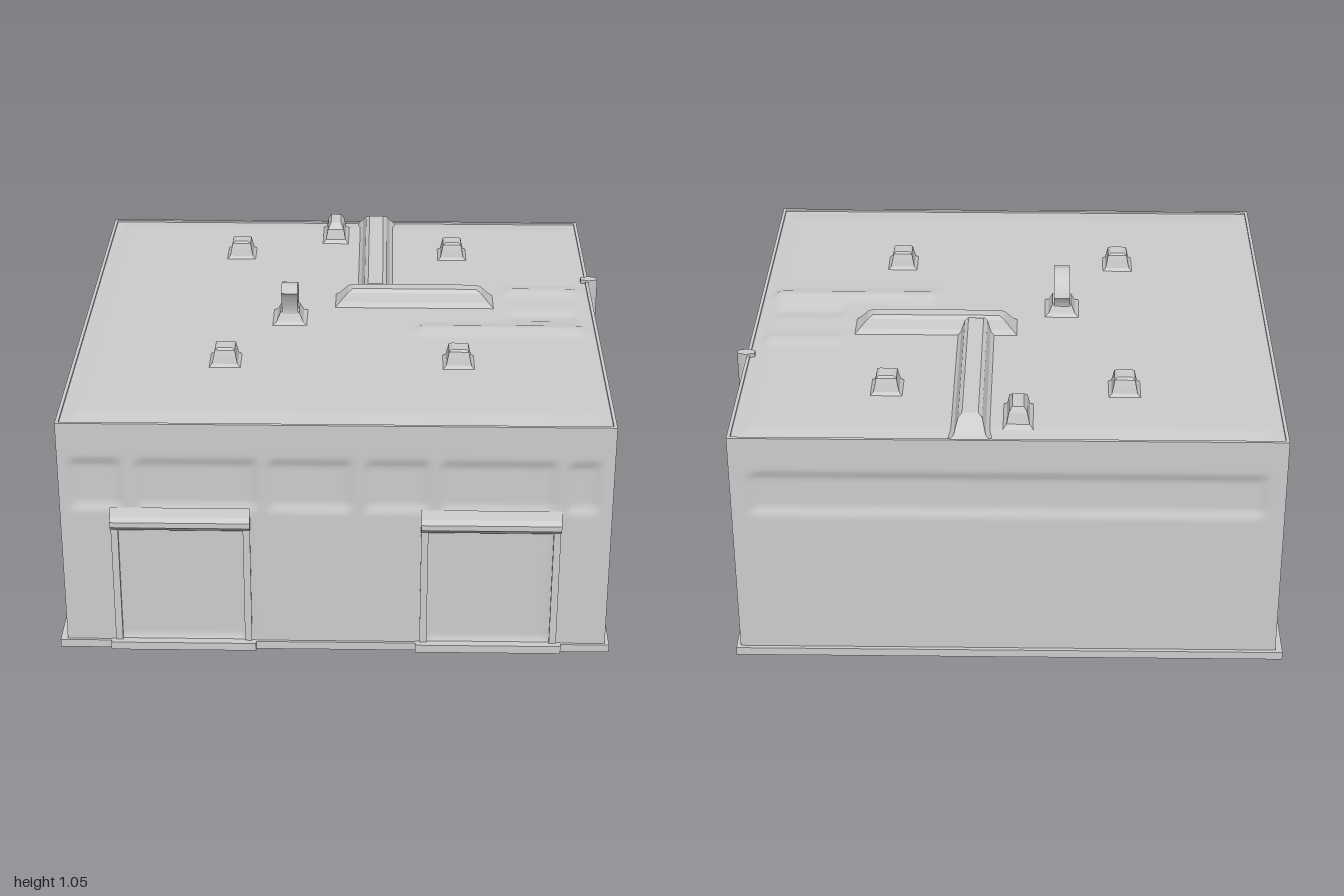
import * as THREE from 'three';

const material = new THREE.MeshStandardMaterial({ color: 0xcccccc });
const X0 = -0.975, X1 = 0.955, Z0 = -0.955, Z1 = 0.94, TOP = 0.89;
const W = X1 - X0, D = Z1 - Z0, CX = (X0 + X1) / 2, CZ = (Z0 + Z1) / 2;

function add(parent, name, geometry, x = 0, y = 0, z = 0) {
  const mesh = new THREE.Mesh(geometry, material);
  mesh.name = name;
  mesh.position.set(x, y, z);
  parent.add(mesh);
  return mesh;
}

// Soft-edged rectangle: 1 inside, fading to 0 across the border
function softRect(u, v, [u0, u1, v0, v1], soft = 0.02) {
  const s = (t, a, b) => THREE.MathUtils.smoothstep(t, a - soft, a + soft) *
    (1 - THREE.MathUtils.smoothstep(t, b - soft, b + soft));
  return s(u, u0, u1) * s(v, v0, v1);
}

// Panel spanning u0..u1, v0..v1, pushed in or out by reliefs [u0, u1, v0, v1, depth]
function reliefPanel(u0, u1, v0, v1, reliefs) {
  const g = new THREE.PlaneGeometry(u1 - u0, v1 - v0, 110, 60);
  g.translate((u0 + u1) / 2, (v0 + v1) / 2, 0);
  const p = g.attributes.position;
  for (let i = 0; i < p.count; i++) {
    const u = p.getX(i), v = p.getY(i);
    const edge = Math.min(u - u0, u1 - u, v - v0, v1 - v);
    let h = 0;
    for (const r of reliefs) h += r[4] * softRect(u, v, r);
    p.setZ(i, h * THREE.MathUtils.smoothstep(edge, 0, 0.025));
  }
  g.computeVertexNormals();
  return g;
}

// Tapered block: rectangular rings [halfX, halfZ, y, offsetX, offsetZ], flat shaded, capped on top
function rings(list) {
  const pos = [], quad = (a, b, c, d) => pos.push(...a, ...b, ...c, ...a, ...c, ...d);
  const loops = list.map(([hx, hz, y, ox = 0, oz = 0]) =>
    [[-1, 1], [1, 1], [1, -1], [-1, -1]].map(([sx, sz]) => [ox + sx * hx, y, oz + sz * hz]));
  for (let k = 0; k < loops.length - 1; k++)
    for (let i = 0; i < 4; i++) {
      const j = (i + 1) % 4;
      quad(loops[k][i], loops[k][j], loops[k + 1][j], loops[k + 1][i]);
    }
  quad(...loops[loops.length - 1]);
  const g = new THREE.BufferGeometry();
  g.setAttribute('position', new THREE.Float32BufferAttribute(pos, 3));
  g.computeVertexNormals();
  return g;
}

export function createModel() {
  const model = new THREE.Group();
  model.name = 'building';

  // Base slab
  add(model, 'baseSlab', new THREE.BoxGeometry(1.97, 0.03, 1.92), -0.015, 0.015, -0.01);

  // Walls with shallow window bands and door bays
  const band = (a, b) => [a, b, 0.57, 0.75, -0.012];
  add(model, 'frontWall', reliefPanel(X0, X1, 0.02, TOP, [
    band(-0.93, -0.76), band(-0.7, -0.29), band(-0.24, 0.04), band(0.1, 0.31), band(0.36, 0.75), band(0.8, 0.9),
    [-0.78, -0.32, 0.0, 0.5, -0.012], [0.31, 0.75, 0.0, 0.5, -0.012],
  ]), 0, 0, Z1);
  add(model, 'leftWall', reliefPanel(-Z1, -Z0, 0.02, TOP, [
    band(-0.86, -0.37), band(-0.24, 0.26), band(0.4, 0.87),
  ]), X1, 0, 0).rotation.y = Math.PI / 2;
  add(model, 'backWall', reliefPanel(-X1, -X0, 0.02, TOP, [
    [-0.88, 0.9, 0.6, 0.75, -0.012],
  ]), 0, 0, Z0).rotation.y = Math.PI;
  add(model, 'rightWall', reliefPanel(Z0, Z1, 0.02, TOP, [
    band(-0.87, -0.4), band(-0.3, -0.1), band(0.0, 0.2), band(0.3, 0.86),
  ]), X0, 0, 0).rotation.y = -Math.PI / 2;

  // Roof with slightly raised ridges (v runs towards the back)
  add(model, 'roof', reliefPanel(X0, X1, -Z1, -Z0, [
    [-0.92, 0.9, -0.88, 0.9, 0.008],
    [0.28, 0.9, -0.17, -0.11, 0.012], [0.63, 0.9, 0.2, 0.25, 0.01], [0.63, 0.88, -0.03, 0.01, -0.012],
  ]), 0, TOP, 0).rotation.x = -Math.PI / 2;

  // Thin parapet lip around the roof
  for (const s of [-1, 1]) {
    add(model, 'parapetLip', new THREE.BoxGeometry(W, 0.014, 0.012), CX, TOP, CZ + s * (D / 2 - 0.006));
    add(model, 'parapetLip', new THREE.BoxGeometry(0.012, 0.014, D), CX + s * (W / 2 - 0.006), TOP, CZ);
  }

  // Door canopies, sills and jambs
  for (const x of [-0.555, 0.535]) {
    const bay = new THREE.Group();
    bay.name = 'doorBay';
    bay.position.set(x, 0, Z1);
    model.add(bay);
    const profile = new THREE.Shape([[0, 0.57], [0.014, 0.54], [0.03, 0.525], [0.03, 0.505], [0, 0.48]]
      .map(([a, b]) => new THREE.Vector2(a, b)));
    const canopy = new THREE.ExtrudeGeometry(profile, { depth: 0.49, bevelEnabled: false });
    canopy.translate(0, 0, -0.245).rotateY(-Math.PI / 2);
    add(bay, 'canopy', canopy);
    add(bay, 'sill', new THREE.BoxGeometry(0.52, 0.03, 0.03), 0, 0.017, 0.012);
    for (const s of [-1, 1])
      add(bay, 'jamb', new THREE.BoxGeometry(0.025, 0.47, 0.012), s * 0.232, 0.25, 0);
  }

  // Four roof vents
  for (const x of [-0.42, 0.425])
    for (const z of [-0.59, 0.425])
      add(model, 'roofVent', rings([
        [0.065, 0.068, 0], [0.046, 0.05, 0.018], [0.04, 0.044, 0.045], [0.036, 0.038, 0.066], [0.025, 0.028, 0.073],
      ]), x, TOP, z);

  // Roof ducts meeting at a corner
  add(model, 'longDuct', rings([
    [0.075, 0.42, 0], [0.055, 0.405, 0.02], [0.042, 0.37, 0.055, 0, 0.02], [0.028, 0.355, 0.066, 0, 0.025],
  ]), 0.12, TOP, -0.535);
  add(model, 'crossDuct', rings([
    [0.31, 0.07, 0], [0.285, 0.05, 0.025], [0.255, 0.036, 0.058], [0.235, 0.022, 0.07],
  ]), 0.27, TOP, -0.12);

  // Small hatch near the back
  add(model, 'hatch', rings([
    [0.06, 0.1, 0], [0.04, 0.075, 0.02], [0.032, 0.065, 0.06], [0.02, 0.045, 0.08, 0, -0.01],
  ]), -0.045, TOP, -0.79);

  // Curved cowl on a flared foot
  const cowl = new THREE.Shape();
  cowl.moveTo(-0.02, 0.89);
  cowl.quadraticCurveTo(0.01, 0.92, -0.03, 0.975);
  cowl.quadraticCurveTo(0.0, 1.05, 0.08, 1.05);
  cowl.lineTo(0.13, 1.035);
  cowl.quadraticCurveTo(0.115, 1.02, 0.1, 0.985);
  cowl.quadraticCurveTo(0.075, 0.93, 0.1, 0.89);
  const cowlGeo = new THREE.ExtrudeGeometry(cowl, { depth: 0.06, bevelEnabled: false, curveSegments: 8 });
  cowlGeo.translate(0, 0, -0.03).rotateY(-Math.PI / 2);
  add(model, 'cowl', cowlGeo, -0.2, 0, 0);
  add(model, 'cowlFoot', rings([
    [0.075, 0.085, 0], [0.05, 0.06, 0.018], [0.035, 0.045, 0.05],
  ]), -0.2, TOP, 0.04);

  // Downpipe on the side wall
  const pipe = new THREE.CylinderGeometry(0.022, 0.022, 0.8, 6);
  pipe.scale(1.7, 1, 1);
  add(model, 'downpipe', pipe, 0.958, 0.505, -0.34);
  add(model, 'pipeOutlet', new THREE.ConeGeometry(0.03, 0.07, 6).rotateX(Math.PI), 0.962, 0.125, -0.34);
  for (const y of [0.2, 0.47, 0.74])
    add(model, 'pipeBracket', new THREE.BoxGeometry(0.035, 0.03, 0.05), 0.965, y, -0.34);

  return model;
}
